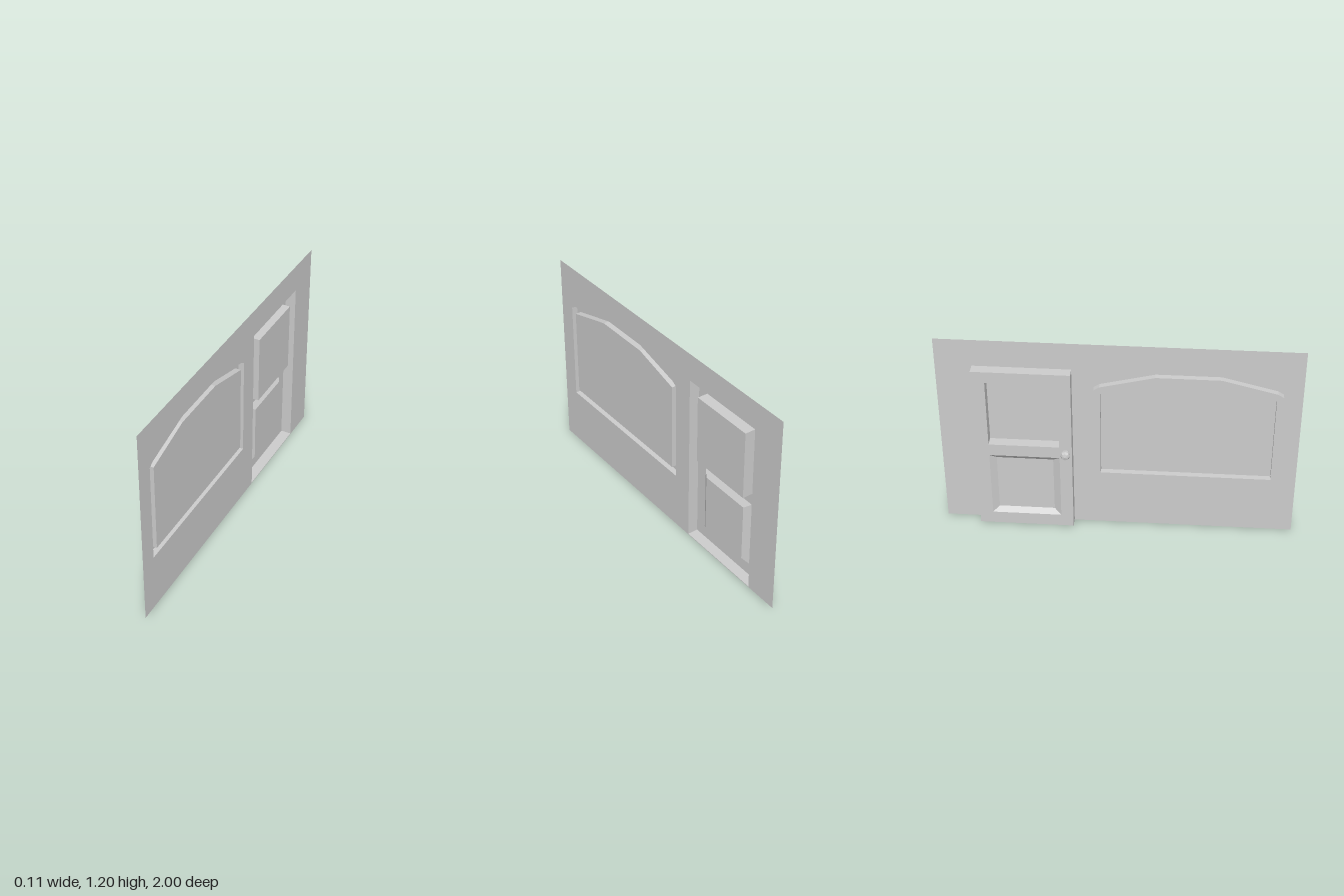
import * as THREE from 'three';

const WALL = 0.054, FRAME = 0.02, DOOR = -0.008, PANEL = 0.018;
const material = new THREE.MeshStandardMaterial({
  color: 0xcccccc, flatShading: true, side: THREE.DoubleSide,
});

// Outlines are lists of [z, y] corners
const rect = (z0, z1, y0, y1) => [[z0, y0], [z1, y0], [z1, y1], [z0, y1]];

// Arched window outline, mirrored about its own centre line
function arch(half, bottom, sideTop) {
  const mid = 0.38;
  const side = [[half, bottom], ...sideTop];
  return [
    ...side.map(([d, y]) => [mid + d, y]),
    ...side.reverse().map(([d, y]) => [mid - d, y]),
  ];
}

const toPoints = (loop) => loop.map(([z, y]) => new THREE.Vector2(z, y));

// Flat sheet at depth x with cut-outs
function sheet(name, x, outline, holes = []) {
  const shape = new THREE.Shape(toPoints(outline));
  for (const h of holes) shape.holes.push(new THREE.Path(toPoints(h)));
  const geo = new THREE.ShapeGeometry(shape);
  geo.rotateY(-Math.PI / 2);
  geo.translate(x, 0, 0);
  const mesh = new THREE.Mesh(geo, material);
  mesh.name = name;
  return mesh;
}

// Band of faces joining two matching outlines at different depths
function band(name, a, xa, b, xb) {
  const pos = [];
  a.forEach((p, i) => {
    const j = (i + 1) % a.length;
    const A = [xa, p[1], p[0]], B = [xa, a[j][1], a[j][0]];
    const C = [xb, b[j][1], b[j][0]], D = [xb, b[i][1], b[i][0]];
    pos.push(...A, ...B, ...C, ...A, ...C, ...D);
  });
  const geo = new THREE.BufferGeometry();
  geo.setAttribute('position', new THREE.Float32BufferAttribute(pos, 3));
  geo.computeVertexNormals();
  const mesh = new THREE.Mesh(geo, material);
  mesh.name = name;
  return mesh;
}

export function createModel() {
  const model = new THREE.Group();
  model.name = 'wallWithDoorAndWindow';

  const windowOuter = arch(0.514, 0.341, [[0.514, 0.933], [0.482, 0.953], [0.179, 1.028]]);
  const windowInner = arch(0.477, 0.379, [[0.477, 0.91], [0.179, 0.99]]);
  const doorOuter = rect(-0.797, -0.255, 0.004, 1.038);
  const paneOuter = rect(-0.722, -0.325, 0.56, 0.97);
  const panelOuter = rect(-0.722, -0.325, 0.08, 0.487);
  const panelInner = rect(-0.685, -0.365, 0.108, 0.456);

  // Knob socket, an octagon matching the knob's neck
  const knobZ = -0.29, knobY = 0.524, neck = 0.02;
  const socket = Array.from({ length: 8 }, (_, i) => [
    knobZ + neck * Math.cos((i * Math.PI) / 4),
    knobY + neck * Math.sin((i * Math.PI) / 4),
  ]);

  // Thin wall
  model.add(sheet('wall', WALL, rect(-1, 1, 0, 1.2), [windowOuter, doorOuter]));

  // Raised window frame with the glass set back to the wall
  const win = new THREE.Group();
  win.name = 'window';
  win.add(
    band('windowFrameSides', windowOuter, WALL, windowOuter, FRAME),
    sheet('windowFrame', FRAME, windowOuter, [windowInner]),
    band('windowReveal', windowInner, FRAME, windowInner, WALL),
    sheet('windowGlass', WALL, windowInner),
  );
  model.add(win);

  // Raised door with an inset pane and a bevelled lower panel
  const door = new THREE.Group();
  door.name = 'door';
  door.add(
    band('doorSides', doorOuter, WALL, doorOuter, DOOR),
    sheet('doorFace', DOOR, doorOuter, [paneOuter, panelOuter, socket]),
    band('doorPaneReveal', paneOuter, DOOR, paneOuter, WALL),
    sheet('doorPane', WALL, paneOuter),
    band('doorPanelBevel', panelOuter, DOOR, panelInner, PANEL),
    sheet('doorPanel', PANEL, panelInner),
  );

  // Hollow faceted knob, open towards the door
  const profile = [
    [neck, 0], [neck, 0.011], [0.0265, 0.016], [0.0275, 0.028], [0.02, 0.041], [0, 0.046],
  ].map(([r, h]) => new THREE.Vector2(r, h));
  const knob = new THREE.Mesh(new THREE.LatheGeometry(profile, 8), material);
  knob.name = 'doorKnob';
  knob.rotation.z = Math.PI / 2;
  knob.position.set(DOOR, knobY, knobZ);
  door.add(knob);
  model.add(door);

  return model;
}
